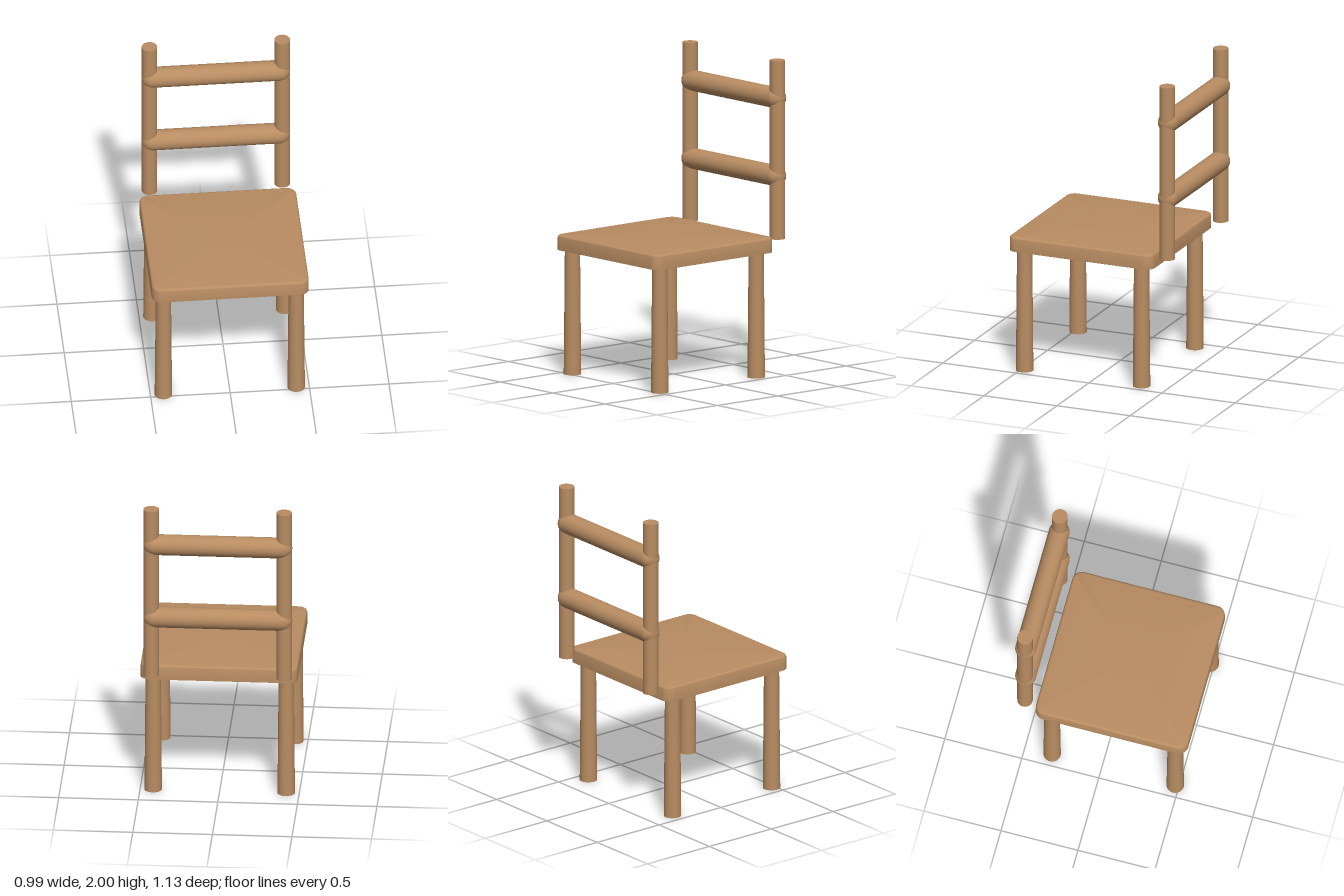
import * as THREE from 'three';
import { toCreasedNormals } from 'three/addons/utils/BufferGeometryUtils.js';

// Rounded-square slab: sharp lower rim, softly rounded upper rim
function seatGeometry(half, bottom, top, corner, soft) {
  const steps = 8;
  const outline = (inset, y) => {
    const ring = [];
    for (let q = 0; q < 4; q++) {
      const mid = q * Math.PI / 2 + Math.PI / 4;
      const cx = Math.sign(Math.cos(mid)) * (half - corner);
      const cz = Math.sign(Math.sin(mid)) * (half - corner);
      for (let i = 0; i <= steps; i++) {
        const a = (q + i / steps) * Math.PI / 2;
        const r = corner - inset;
        ring.push([cx + r * Math.cos(a), y, cz + r * Math.sin(a)]);
      }
    }
    return ring;
  };
  const rings = [outline(0, bottom)];
  for (let i = 0; i <= 5; i++) {
    const a = i / 5 * Math.PI / 2;
    rings.push(outline(soft * (1 - Math.cos(a)), top - soft + soft * Math.sin(a)));
  }
  const pos = [];
  const tri = (...pts) => pts.forEach((p) => pos.push(...p));
  const n = rings[0].length;
  const last = rings[rings.length - 1];
  for (let i = 0; i < n; i++) {
    const k = (i + 1) % n;
    for (let j = 0; j < rings.length - 1; j++) {
      const lo = rings[j], hi = rings[j + 1];
      tri(lo[i], hi[i], lo[k]);
      tri(lo[k], hi[i], hi[k]);
    }
    tri([0, bottom, 0], rings[0][i], rings[0][k]);
    tri([0, top, 0], last[k], last[i]);
  }
  const geo = new THREE.BufferGeometry();
  geo.setAttribute('position', new THREE.Float32BufferAttribute(pos, 3));
  return toCreasedNormals(geo, 0.6);
}

export function createModel() {
  const chair = new THREE.Group();
  chair.name = 'chair';
  const wood = new THREE.MeshStandardMaterial({ color: 0xb88c62 });
  wood.name = 'wood';

  const add = (name, geometry, x, y, z) => {
    const mesh = new THREE.Mesh(geometry, wood);
    mesh.name = name;
    mesh.position.set(x, y, z);
    chair.add(mesh);
    return mesh;
  };

  add('seat', seatGeometry(0.494, 0.795, 0.89, 0.06, 0.018), 0, 0, 0.07);

  // Legs widen slightly towards the floor
  const leg = new THREE.CylinderGeometry(0.048, 0.055, 0.8, 32);
  const post = new THREE.CylinderGeometry(0.049, 0.049, 1.138, 32);
  for (const [side, x] of [['left', 0.418], ['right', -0.418]]) {
    add(`${side}FrontLeg`, leg, x, 0.4, 0.475);
    add(`${side}BackLeg`, leg, x, 0.4, -0.325);
    add(`${side}BackPost`, post, x, 1.431, -0.501);
  }

  // Round-ended rails joining the posts
  const rail = new THREE.CapsuleGeometry(0.066, 0.804, 12, 32);
  add('lowerRail', rail, 0, 1.26, -0.501).rotation.z = Math.PI / 2;
  add('upperRail', rail, 0, 1.757, -0.501).rotation.z = Math.PI / 2;

  return chair;
}
